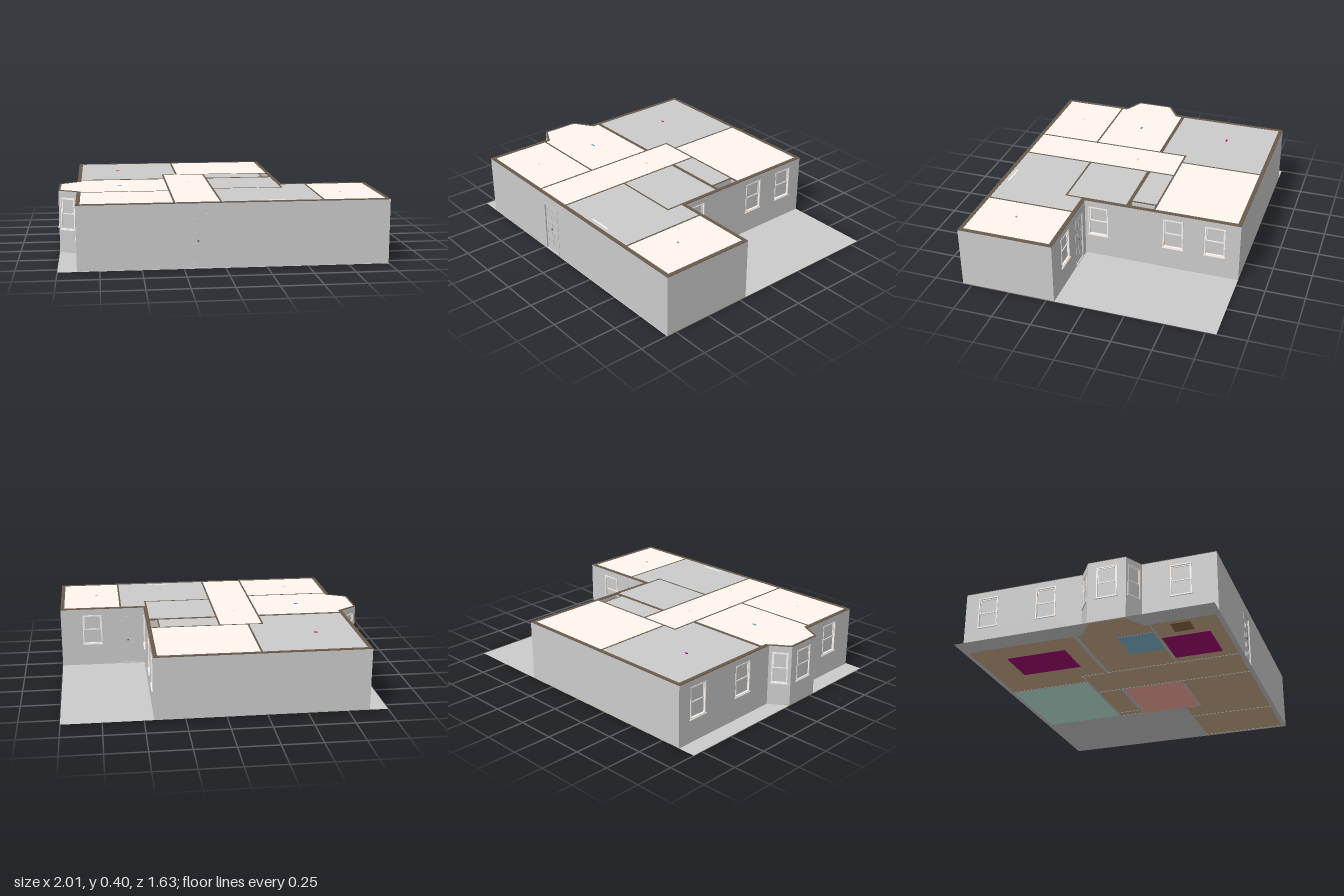
import * as THREE from 'three';

const H = 0.4, CAP = 0.004;
const mat = (color = 0xcccccc) => new THREE.MeshStandardMaterial({ color });
const wallMat = mat(), capMat = mat(0x6b5b4b), trimMat = mat(0xfff6ef), beige = mat(0xfff6ef), floorMat = mat(0xccae8c);
const glassMat = mat();

// outside edge of the house, as [x, z]
const outline = [
  [-0.885, 0.81], [1, 0.81], [1, 0.2], [0.44, 0.2], [0.44, -0.815], [-0.885, -0.815],
  [-0.885, -0.03], [-1, 0.05], [-1, 0.29], [-0.885, 0.35],
];
const rect = (x0, z0, x1, z1) => [[x0, z0], [x1, z0], [x1, z1], [x0, z1]];
const shapeOf = (pts) => new THREE.Shape(pts.map(([x, z]) => new THREE.Vector2(x, z)));

function box(parent, name, w, h, d, x, y, z, material) {
  const m = new THREE.Mesh(new THREE.BoxGeometry(w, h, d), material);
  m.name = name;
  m.position.set(x, y, z);
  parent.add(m);
  return m;
}

// flat slab with its upper face at the given height
function slab(parent, name, pts, top, thick, material) {
  const geo = new THREE.ExtrudeGeometry(shapeOf(pts), { depth: thick, bevelEnabled: false });
  const m = new THREE.Mesh(geo.rotateX(Math.PI / 2), material);
  m.name = name;
  m.position.y = top;
  parent.add(m);
}

// rectangular frame of four bars
function frame(parent, name, x, y0, y1, w, bar, d, z, material) {
  for (const s of [-1, 1]) {
    box(parent, name, bar, y1 - y0, d, x + s * (w - bar) / 2, (y0 + y1) / 2, z, material);
    box(parent, name, w, bar, d, x, s < 0 ? y0 + bar / 2 : y1 - bar / 2, z, material);
  }
}

// double-hung sash window set into a wall opening
function sashWindow(o, t) {
  const g = new THREE.Group();
  g.name = 'window';
  const mid = (o.y0 + o.y1) / 2;
  frame(g, 'windowFrame', o.x, o.y0, o.y1, o.w, 0.007, t + 0.006, -t / 2, trimMat);
  frame(g, 'upperSash', o.x, mid - 0.004, o.y1 - 0.007, o.w - 0.014, 0.006, 0.005, -t * 0.35, trimMat);
  frame(g, 'lowerSash', o.x, o.y0 + 0.007, mid + 0.004, o.w - 0.014, 0.006, 0.005, -t * 0.65, trimMat);
  box(g, 'glass', o.w - 0.014, o.y1 - o.y0 - 0.014, 0.002, o.x, mid, -t * 0.5, glassMat);
  box(g, 'sill', o.w + 0.008, 0.006, 0.012, o.x, o.y0 - 0.001, 0.002, trimMat);
  return g;
}

// panelled door with a knob on both faces
function door(o, t) {
  const g = new THREE.Group();
  g.name = 'door';
  frame(g, 'doorFrame', o.x, 0, o.y1, o.w, 0.006, t + 0.004, -t / 2, wallMat);
  box(g, 'doorLeaf', o.w - 0.012, o.y1 - 0.012, t * 0.4, o.x, o.y1 / 2, -t / 2, wallMat);
  for (const s of [-1, 1]) {
    for (const [y0, y1] of [[0.03, 0.15], [0.18, 0.22], [0.235, 0.305]])
      frame(g, 'doorPanel', o.x + s * o.w * 0.21, y0, y1, o.w * 0.34, 0.004, t * 0.5, -t / 2, wallMat);
    const knob = new THREE.Mesh(new THREE.SphereGeometry(0.006, 12, 8), capMat);
    knob.name = 'doorKnob';
    knob.position.set(o.x, 0.168, -t / 2 + s * t * 0.45);
    g.add(knob);
  }
  return g;
}

// wall from a to b; its outer face lies on the line, its thickness goes inward
function wall(parent, name, a, b, t, openings = []) {
  const g = new THREE.Group();
  g.name = name;
  const len = Math.hypot(b[0] - a[0], b[1] - a[1]);
  const shape = shapeOf(rect(0, 0, len, H - CAP));
  for (const o of openings) {
    const y0 = Math.max(o.y0, 0.001);
    const hole = rect(o.x - o.w / 2, y0, o.x + o.w / 2, o.y1);
    shape.holes.push(new THREE.Path(hole.map(([x, y]) => new THREE.Vector2(x, y))));
    g.add(o.y0 > 0 ? sashWindow(o, t) : door(o, t));
  }
  const geo = new THREE.ExtrudeGeometry(shape, { depth: t, bevelEnabled: false }).translate(0, 0, -t);
  const body = new THREE.Mesh(geo, wallMat);
  body.name = name + 'Body';
  g.add(body);
  box(g, 'wallTop', len, CAP, t, len / 2, H - CAP / 2, -t / 2, capMat);
  g.position.set(a[0], 0, a[1]);
  g.rotation.y = Math.atan2(a[1] - b[1], b[0] - a[0]);
  parent.add(g);
}

export function createModel() {
  const house = new THREE.Group();
  house.name = 'house';
  const win = (x, w = 0.13) => ({ x, w, y0: 0.15, y1: 0.355 });
  const entry = (x, w = 0.15) => ({ x, w, y0: 0, y1: 0.335 });

  // yard around the house
  const yard = shapeOf(rect(-1, -0.815, 1, 0.815));
  yard.holes.push(new THREE.Path(outline.map(([x, z]) => new THREE.Vector2(x, z))));
  const ground = new THREE.Mesh(new THREE.ShapeGeometry(yard).rotateX(Math.PI / 2),
    new THREE.MeshStandardMaterial({ color: 0xcccccc, side: THREE.DoubleSide }));
  ground.name = 'yard';
  house.add(ground);

  // outer walls, with openings measured along each wall
  const T = 0.025;
  const openings = {
    0: [entry(0.72)],
    2: [win(0.21), entry(0.45, 0.13)],
    3: [win(0.09), win(0.585), win(0.855)],
    5: [win(0.155), win(0.545)],
    6: [win(0.07, 0.1)],
    7: [win(0.12)],
    8: [win(0.065, 0.1)],
    9: [win(0.24)],
  };
  outline.forEach((a, i) => {
    const b = outline[(i + 1) % outline.length];
    const bay = i >= 6 && i <= 8;
    const start = i === 3 ? [a[0], a[1] + T] : a;
    if (i === 3) openings[3].forEach((o) => { o.x += T; });
    wall(house, bay ? 'bayWall' : 'outerWall', start, b, bay ? 0.012 : T, openings[i]);
  });

  // partitions: x0, z0, x1, z1
  const partitions = [
    [-0.217, -0.79, -0.206, -0.255], [-0.31, -0.261, 0.416, -0.25],
    [-0.861, -0.093, -0.3, -0.07], [-0.03, -0.093, 0.416, -0.07],
    [-0.861, 0.38, -0.3, 0.391], [-0.311, -0.25, -0.3, 0.786],
    [-0.032, -0.25, -0.021, 0.786], [-0.021, 0.325, 0.427, 0.336],
    [0.416, 0.22, 0.427, 0.33], [0.59, 0.224, 0.601, 0.786],
    [0.358, -0.25, 0.366, -0.093],
  ];
  for (const [x0, z0, x1, z1] of partitions) {
    const w = x1 - x0, d = z1 - z0, x = (x0 + x1) / 2, z = (z0 + z1) / 2;
    box(house, 'partition', w, H - CAP, d, x, (H - CAP) / 2, z, wallMat);
    box(house, 'partitionTop', w, CAP, d, x, H - CAP / 2, z, capMat);
  }

  // ceilings, one per room
  const plain = mat();
  const ceilings = [
    [rect(-0.206, -0.79, 0.415, -0.261), beige], [rect(-0.3, -0.25, -0.032, 0.785), beige],
    [rect(-0.86, 0.391, -0.311, 0.785), beige], [rect(0.601, 0.225, 0.975, 0.785), beige],
    [[[-0.86, -0.07], [-0.311, -0.07], [-0.311, 0.38], [-0.86, 0.38], [-0.87, 0.342],
      [-0.99, 0.283], [-0.99, 0.057], [-0.86, -0.028]], beige],
    [rect(-0.86, -0.79, -0.217, -0.261), plain], [rect(-0.86, -0.261, -0.311, -0.093), plain],
    [rect(-0.021, -0.25, 0.358, -0.093), plain], [rect(-0.021, -0.07, 0.415, 0.325), plain],
    [rect(-0.021, 0.336, 0.427, 0.785), plain], [rect(0.427, 0.225, 0.59, 0.785), plain],
  ];
  for (const [pts, m] of ceilings) slab(house, 'ceiling', pts, H - 0.001, 0.004, m);

  // floor, tiled rooms and rugs
  slab(house, 'floor', outline, 0.004, 0.003, floorMat);
  const coverings = [
    ['bedroomCarpet', 0xc4f0e0, -0.206, -0.79, 0.415, -0.261],
    ['bathroomTiles', 0xffb0a4, -0.021, -0.07, 0.415, 0.325],
    ['bedroomRug', 0xa50073, -0.71, -0.6, -0.45, -0.21],
    ['frontRoomRug', 0xa50073, -0.67, 0.4, -0.38, 0.7],
    ['livingRoomRug', 0x85bdd6, -0.76, 0.15, -0.52, 0.375],
    ['doorMat', 0x8c6b40, -0.83, 0.5, -0.72, 0.62],
  ];
  for (const [name, color, ...r] of coverings) slab(house, name, rect(...r), 0.006, 0.006, mat(color));

  // small ceiling light fittings
  const lights = [
    [-0.61, 0.157, 0.03, 0x5f9db5], [-0.61, -0.47, 0.024, 0xa50073], [0.755, 0.53, 0.016, 0x9a9a9a],
    [-0.16, 0.04, 0.03, 0xe8e0d8], [-0.61, 0.6, 0.02, 0xe8e0d8], [0.295, 0.756, 0.15, 0xfff6ef],
  ];
  for (const [x, z, w, color] of lights) box(house, 'ceilingLight', w, 0.008, 0.012, x, H - 0.004, z, mat(color));

  return house;
}
